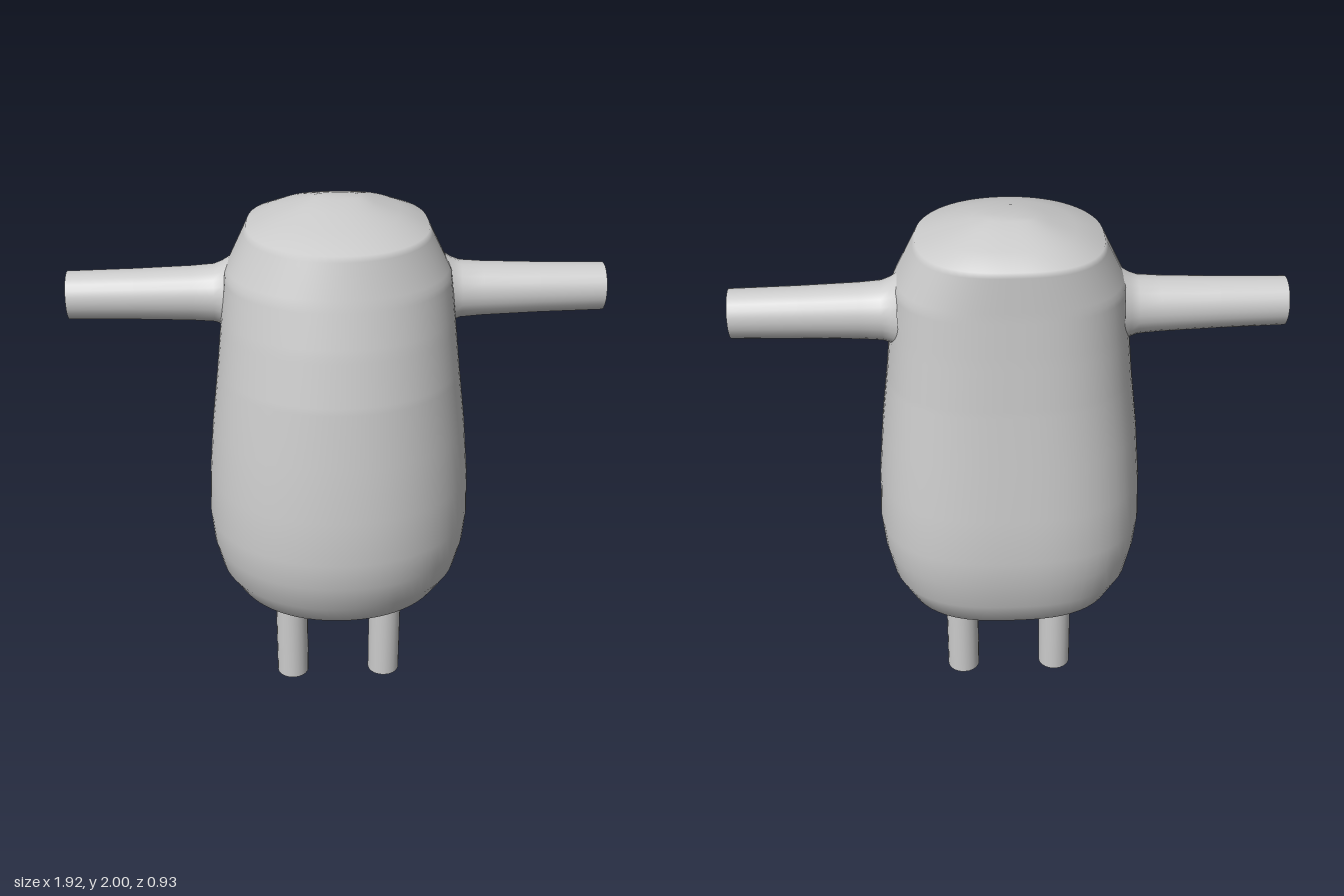
import * as THREE from 'three';

const material = new THREE.MeshStandardMaterial({ color: 0xcccccc, side: THREE.DoubleSide });
const ARM = { y: 1.66, z: -0.08, hole: 0.105 };

// Body cross-sections: [height, half width, front z, back z]
const SECTIONS = [
  [0.39, 0, -0.04, -0.04], [0.405, 0.15, 0.08, -0.13], [0.425, 0.27, 0.2, -0.22],
  [0.46, 0.34, 0.28, -0.31], [0.515, 0.4, 0.355, -0.39], [0.61, 0.455, 0.42, -0.43],
  [0.72, 0.48, 0.453, -0.447], [0.83, 0.49, 0.465, -0.46], [1.0, 0.483, 0.458, -0.445],
  [1.2, 0.465, 0.435, -0.425], [1.4, 0.44, 0.41, -0.405], [1.6, 0.418, 0.37, -0.39],
  [1.76, 0.4, 0.33, -0.38], [1.92, 0.32, 0.285, -0.375], [1.958, 0.22, 0.15, -0.3],
  [1.985, 0.13, 0.04, -0.21], [2.0, 0.08, -0.06, -0.15], [2.0, 0, -0.11, -0.11],
];

function add(group, name, geometry) {
  const mesh = new THREE.Mesh(geometry, material);
  mesh.name = name;
  group.add(mesh);
  return mesh;
}

// Rounded loft, flatter at the back, with a round opening at each shoulder
function bodyGeometry() {
  const columns = 72;
  const rows = [];
  SECTIONS.forEach((section, i) => {
    const next = SECTIONS[i + 1];
    if (!next) return rows.push(section);
    const steps = section[0] >= 1.4 && section[0] < 1.9 ? 8 : 1;
    for (let k = 0; k < steps; k++) {
      rows.push(section.map((v, j) => THREE.MathUtils.lerp(v, next[j], k / steps)));
    }
  });

  const positions = [], inHole = [], indices = [];
  for (const [rowY, halfWidth, front, back] of rows) {
    for (let i = 0; i < columns; i++) {
      const a = (i / columns) * Math.PI * 2;
      const c = Math.cos(a), s = Math.sin(a);
      const n = s > 0 ? 2.1 : 2.7;
      const r = (Math.abs(c) ** n + Math.abs(s) ** n) ** (-1 / n);
      const x = halfWidth * r * c;
      let y = rowY;
      let z = (front + back) / 2 + ((front - back) / 2) * r * s;
      // Push vertices inside the shoulder opening out to its rim
      const dy = y - ARM.y, dz = z - ARM.z, d = Math.hypot(dy, dz);
      const inside = d < ARM.hole && Math.abs(x) > 0.2;
      if (inside && d > 0.001) {
        y = ARM.y + (dy / d) * ARM.hole;
        z = ARM.z + (dz / d) * ARM.hole;
      }
      inHole.push(inside);
      positions.push(x, y, z);
    }
  }
  for (let j = 0; j < rows.length - 1; j++) {
    for (let i = 0; i < columns; i++) {
      const a = j * columns + i, b = j * columns + ((i + 1) % columns);
      const c = b + columns, d = a + columns;
      if ([a, b, c, d].every((v) => inHole[v])) continue;
      indices.push(a, c, b, a, d, c);
    }
  }
  const geometry = new THREE.BufferGeometry();
  geometry.setAttribute('position', new THREE.Float32BufferAttribute(positions, 3));
  geometry.setIndex(indices);
  geometry.computeVertexNormals();
  return geometry;
}

// Open tapered sleeve that flares into the shoulder
function armGeometry() {
  const profile = [[0.13, 0.385], [0.115, 0.41], [0.104, 0.44], [0.098, 0.52], [0.091, 0.72], [0.086, 0.96]];
  return new THREE.LatheGeometry(profile.map(([r, x]) => new THREE.Vector2(r, x)), 24);
}

// Open tube leaning slightly forward towards the top
function legGeometry() {
  const height = 0.44;
  const geometry = new THREE.CylinderGeometry(0.064, 0.064, height, 20, 1, true);
  geometry.translate(0, height / 2, 0);
  const p = geometry.attributes.position;
  for (let i = 0; i < p.count; i++) p.setZ(i, p.getZ(i) - 0.027 + p.getY(i) * 0.05);
  geometry.computeBoundingSphere();
  return geometry;
}

export function createModel() {
  const model = new THREE.Group();
  model.name = 'roundedFigure';
  add(model, 'body', bodyGeometry());

  for (const [side, sign] of [['left', 1], ['right', -1]]) {
    const arm = add(model, side + 'Arm', armGeometry());
    arm.rotation.z = -sign * Math.PI / 2;
    arm.position.set(0, ARM.y, ARM.z);

    const leg = add(model, side + 'Leg', legGeometry());
    leg.position.x = sign * 0.188;
  }
  return model;
}
